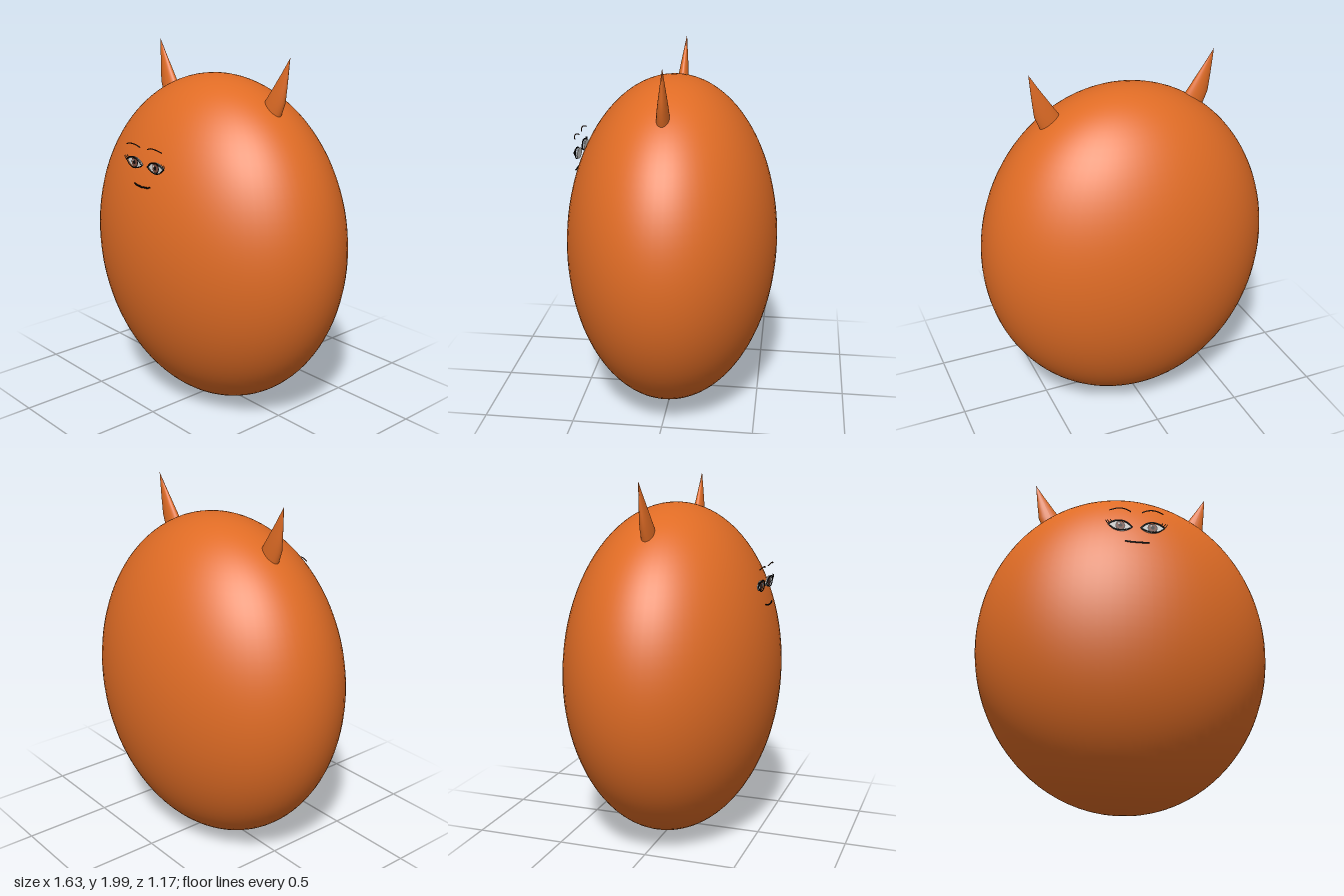
import * as THREE from 'three';

const material = (name, color, side = THREE.FrontSide) => {
  const m = new THREE.MeshStandardMaterial({ color, side });
  m.name = name;
  return m;
};

export function createModel() {
  const orange = material('orange skin', 0xe06c25);
  const white = material('eye white', 0xd8d8d6, THREE.DoubleSide);
  const brown = material('iris brown', 0x7a4a3c, THREE.DoubleSide);
  const black = material('black', 0x0c0a0a, THREE.DoubleSide);
  const browBrown = material('brow brown', 0x3a1c0c);

  const model = new THREE.Group();
  model.name = 'hornedEgg';

  const add = (parent, name, geometry, mat, x = 0, y = 0, z = 0) => {
    const mesh = new THREE.Mesh(geometry, mat);
    mesh.name = name;
    mesh.position.set(x, y, z);
    parent.add(mesh);
    return mesh;
  };

  // Thin line through a few points
  const line = (parent, name, points, radius, mat, closed = false) => {
    const curve = new THREE.CatmullRomCurve3(points.map((p) => new THREE.Vector3(...p)), closed);
    return add(parent, name, new THREE.TubeGeometry(curve, 24, radius, 6, closed), mat);
  };

  // Body: a flattened egg
  const body = add(model, 'body', new THREE.SphereGeometry(1, 72, 48), orange, 0, 0.935, 0);
  body.scale.set(0.816, 0.928, 0.585);

  // Horn: a cone flattened in z, leaning outwards with a bend near the base
  function hornGeometry(side) {
    const rings = [[0.07, 1.62], [0.068, 1.69], [0.0665, 1.765], [0.045, 1.84], [0.022, 1.92], [0, 2]];
    const centres = [0.372, 0.396, 0.428, 0.458, 0.489, 0.518];
    const depths = [0.038, 0.037, 0.031, 0.022, 0.011, 0.001];
    const profile = rings.map(([r, y]) => new THREE.Vector2(r, y));
    const geometry = new THREE.LatheGeometry(profile, 28);
    const pos = geometry.attributes.position;
    for (let i = 0; i < pos.count; i++) {
      const k = i % rings.length;
      const r = rings[k][0] || 1;
      const lean = -0.013 * Math.max(0, (pos.getY(i) - 1.7) / 0.3);
      pos.setX(i, pos.getX(i) + side * centres[k]);
      pos.setZ(i, (pos.getZ(i) / r) * depths[k] + lean);
    }
    geometry.computeVertexNormals();
    return geometry;
  }

  // Almond outline of the eye
  const almond = new THREE.Shape();
  almond.moveTo(-0.062, -0.004);
  almond.bezierCurveTo(-0.035, 0.036, 0.03, 0.04, 0.064, 0.004);
  almond.bezierCurveTo(0.035, -0.036, -0.03, -0.038, -0.062, -0.004);
  const plate = { depth: 0.006, bevelEnabled: false, curveSegments: 20 };

  for (const side of [1, -1]) {
    const label = side > 0 ? 'left' : 'right';
    add(model, label + 'Horn', hornGeometry(side), orange);

    // Eye, mirrored by turning its x direction
    const eye = new THREE.Group();
    eye.name = label + 'Eye';
    eye.position.set(side * 0.088, 1.441, 0.505);
    eye.scale.x = side;
    model.add(eye);
    add(eye, 'eyeWhite', new THREE.ExtrudeGeometry(almond, plate), white);
    add(eye, 'irisRim', new THREE.CircleGeometry(0.027, 28), black, 0, 0.001, 0.008);
    add(eye, 'iris', new THREE.CircleGeometry(0.023, 28), brown, 0, 0.001, 0.01);
    add(eye, 'pupil', new THREE.CircleGeometry(0.011, 20), black, 0, 0.001, 0.012);
    add(eye, 'glint', new THREE.CircleGeometry(0.005, 12), white, side * -0.008, 0.01, 0.014);
    line(eye, 'upperLid', [[-0.066, -0.006, 0.01], [-0.035, 0.02, 0.014], [0, 0.029, 0.016],
      [0.038, 0.022, 0.014], [0.068, 0.004, 0.01]], 0.0042, black);
    line(eye, 'lowerLid', [[-0.066, -0.006, 0.01], [-0.035, -0.021, 0.012], [0, -0.028, 0.013],
      [0.035, -0.021, 0.012], [0.068, 0.004, 0.01]], 0.003, black);
    // Lashes at the outer corner
    for (const [x, y, dx, dy] of [[0.066, 0.005, 0.014, 0.02], [0.056, 0.012, 0.015, 0.016], [0.044, 0.019, 0.012, 0.013]])
      line(eye, 'lash', [[x, y, 0.011], [x + dx * 0.6, y + dy * 0.4, 0.013], [x + dx, y + dy, 0.014]], 0.002, black);

    // Brow: a thin arc standing off the skin
    line(model, label + 'Brow', [[side * 0.03, 1.53, 0.518], [side * 0.06, 1.541, 0.524],
      [side * 0.1, 1.543, 0.526], [side * 0.148, 1.532, 0.516]], 0.003, browBrown);
  }

  // Mouth
  line(model, 'mouth', [[-0.065, 1.337, 0.535], [-0.04, 1.332, 0.538], [-0.012, 1.331, 0.54], [0, 1.329, 0.54],
    [0.012, 1.331, 0.54], [0.04, 1.332, 0.538], [0.065, 1.337, 0.535]], 0.0042, black);

  return model;
}
